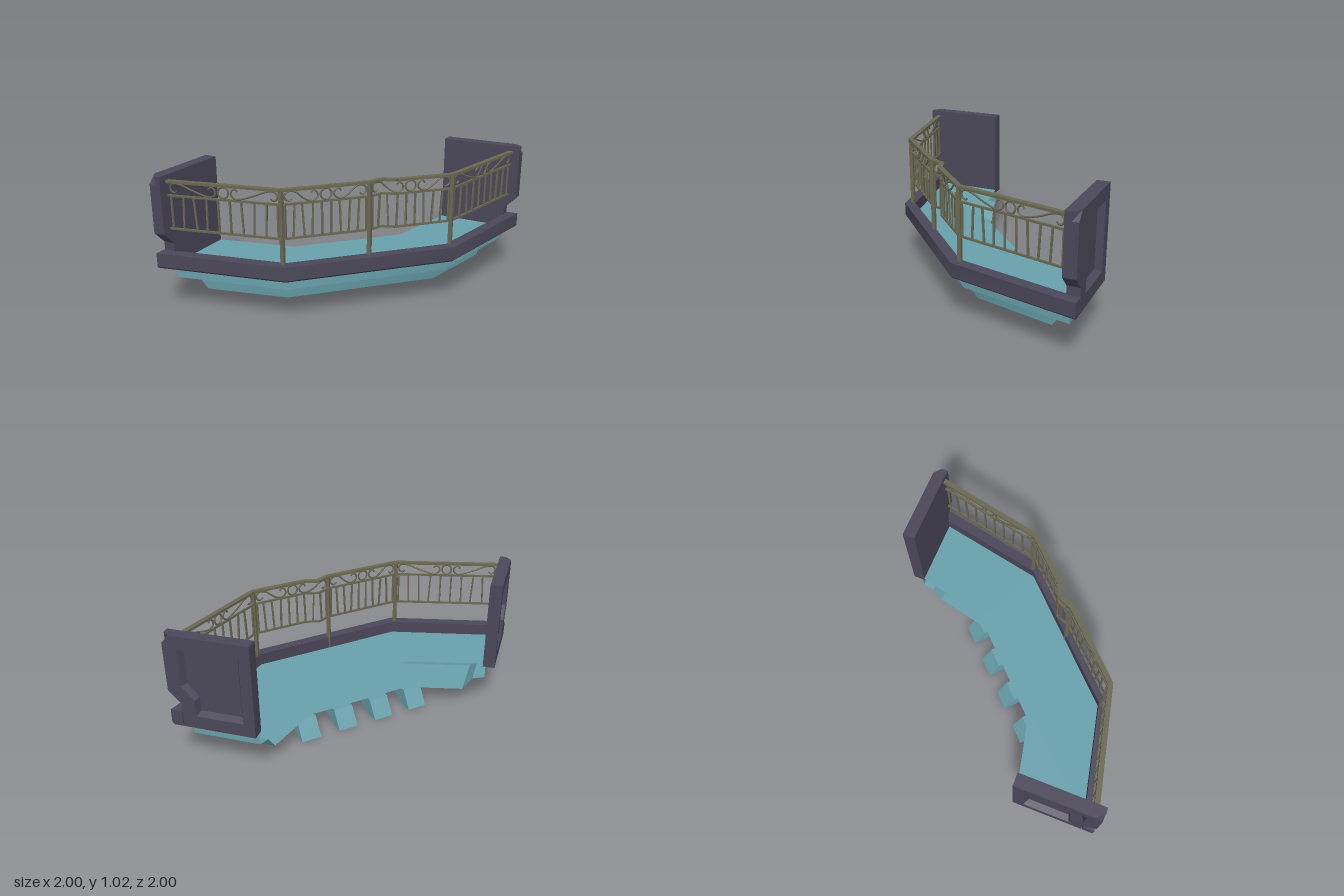
import * as THREE from 'three';
import { mergeGeometries, toCreasedNormals } from 'three/addons/utils/BufferGeometryUtils.js';

const stone = new THREE.MeshStandardMaterial({ color: 0x4b475a });
const teal = new THREE.MeshStandardMaterial({ color: 0x68a0ab, side: THREE.DoubleSide });
const iron = new THREE.MeshStandardMaterial({ color: 0x6a6852 });
const V = (x, y, z) => new THREE.Vector3(x, y, z);

function add(parent, name, geo, mat) {
  const m = new THREE.Mesh(geo, mat);
  m.name = name;
  parent.add(m);
  return m;
}

// the plan is symmetric about x = z: complete a half outline by swapping
const fullPlan = half => [...half, ...half.slice().reverse().map(([x, z]) => [z, x])];

// stack of horizontal plan outlines, capped at both ends; sides listed in open are left out
function loft(levels, open = []) {
  const rings = levels.map(([y, half]) => fullPlan(half).map(([x, z]) => V(x, y, z)));
  const pos = [], tri = (...ps) => ps.forEach(p => pos.push(p.x, p.y, p.z));
  const n = rings[0].length, bottom = rings[0], top = rings[rings.length - 1];
  for (let k = 0; k + 1 < rings.length; k++)
    for (let i = 0; i < n; i++) {
      if (open.includes(i)) continue;
      const j = (i + 1) % n;
      tri(rings[k][i], rings[k][j], rings[k + 1][j]);
      tri(rings[k][i], rings[k + 1][j], rings[k + 1][i]);
    }
  const cap = ring => THREE.ShapeUtils.triangulateShape(ring.map(p => new THREE.Vector2(p.x, -p.z)), []);
  for (const [a, b, c] of cap(top)) tri(top[a], top[b], top[c]);
  for (const [a, b, c] of cap(bottom)) tri(bottom[a], bottom[c], bottom[b]);
  const g = new THREE.BufferGeometry();
  g.setAttribute('position', new THREE.Float32BufferAttribute(pos, 3));
  return toCreasedNormals(g, 0.65);
}

// mirror a non-indexed geometry across the x = z plane, keeping faces outward
function swapped(geo) {
  const g = geo.clone(), src = geo.attributes.position, p = g.attributes.position;
  for (let i = 0; i < p.count; i++) {
    const j = i - (i % 3) + [0, 2, 1][i % 3];
    p.setXYZ(i, src.getZ(j), src.getY(j), src.getX(j));
  }
  g.computeVertexNormals();
  return g;
}

// end wall: solid inner slab plus framed outer slab with a cut top corner and bevelled recess
function wallGeometry() {
  const poly = pts => pts.map(([x, y]) => new THREE.Vector2(x, y));
  const lower = [[0.39, 0.345], [0.91, 0.345], [0.91, 0.52], [1, 0.61]];
  const panel = poly([[0.47, 0.44], [0.47, 0.93], [0.9, 0.93], [0.9, 0.66], [0.81, 0.56], [0.81, 0.44]]);
  const opts = { depth: 0.045, bevelEnabled: false };
  const solid = new THREE.Shape(poly([...lower, [1, 1.025], [0.39, 1.025]]));
  const inner = new THREE.ExtrudeGeometry(solid, opts).translate(0, 0, -0.955);
  const frame = new THREE.Shape(poly([...lower, [1, 0.965], [0.945, 1.025], [0.39, 1.025]]));
  frame.holes.push(new THREE.Path(panel));
  const outer = new THREE.ExtrudeGeometry(frame, opts).translate(0, 0, -1);
  const p = outer.attributes.position;
  for (let i = 0; i < p.count; i++) {
    const x = p.getX(i), y = p.getY(i);
    if (p.getZ(i) < -0.98) continue;
    if (x > 0.94 && y > 1) p.setX(i, 1);
    else if (x > 0.4 && x < 0.905 && y > 0.4 && y < 0.95)
      p.setXY(i, 0.685 + (x - 0.685) * 0.88, 0.685 + (y - 0.685) * 0.9);
  }
  const g = mergeGeometries([inner, outer]);
  g.computeVertexNormals();
  return g;
}

// square bar between two points
function bar(parent, name, a, b, w, h = w) {
  const m = add(parent, name, new THREE.BoxGeometry(w, h, a.distanceTo(b)), iron);
  m.position.copy(a).lerp(b, 0.5);
  m.lookAt(b);
}

// one railing bay along a plan polyline
function railingBay(plan) {
  const bay = new THREE.Group();
  bay.name = 'railingBay';
  const pts = plan.map(([x, z]) => V(x, 0, z));
  const path = new THREE.CurvePath();
  for (let i = 0; i + 1 < pts.length; i++) path.add(new THREE.LineCurve3(pts[i], pts[i + 1]));
  const L = path.getLength();
  const at = (d, y) => path.getPointAt(THREE.MathUtils.clamp(d / L, 0, 1)).setY(y);

  for (let i = 0; i + 1 < pts.length; i++)
    for (const [name, y, w, h] of [['topRail', 0.98, 0.036, 0.018], ['middleRail', 0.88, 0.014, 0.014], ['lowerRail', 0.64, 0.014, 0.014]])
      bar(bay, name, pts[i].clone().setY(y), pts[i + 1].clone().setY(y), w, h);

  // upright end bars and slightly leaning balusters
  for (const d of [0.025, L - 0.025]) bar(bay, 'endBar', at(d, 0.64), at(d, 0.88), 0.012);
  const lean = [0.006, -0.007, 0.003, 0, 0, -0.005, 0.006, 0.006];
  lean.forEach((s, i) => {
    const d = L * (i + 1.31) / 9.55;
    bar(bay, 'baluster', at(d - s, 0.64), at(d + s, 0.88), 0.012);
  });

  // scrollwork: centre ring and a mirrored pair of S-scrolls
  const tube = (name, list, closed, seg) => add(bay, name, new THREE.TubeGeometry(
    new THREE.CatmullRomCurve3(list.map(([d, y]) => at(L / 2 + d, y)), closed), seg, 0.0065, 5, closed), iron);
  const ring = [];
  for (let i = 0; i < 12; i++) ring.push([0.038 * Math.cos(i * Math.PI / 6), 0.929 + 0.038 * Math.sin(i * Math.PI / 6)]);
  tube('scrollRing', ring, true, 24);
  const o = L / 2 - 0.055, c = 0.085;
  const scroll = [[o - 0.018, 0.917], [o - 0.002, 0.902], [o + 0.025, 0.913], [o + 0.032, 0.94], [o + 0.01, 0.965],
    [o - 0.04, 0.962], [(o + c) / 2, 0.925], [c + 0.04, 0.895], [c, 0.892], [c - 0.028, 0.915],
    [c - 0.022, 0.948], [c + 0.004, 0.96], [c + 0.02, 0.942]];
  for (const s of [1, -1]) tube('scroll', scroll.map(([d, y]) => [s * d, y]), false, 44);
  return bay;
}

export function createModel() {
  const model = new THREE.Group();
  model.name = 'balcony';

  // hollow stepped deck, open along the inner edge
  // half plan: outer corner, outer end, inner end, inner corner
  const ic = [0.26, -0.34];
  const wide = [[0.71, -0.12], [0.885, -0.93], [0.394, -0.93], ic];
  const floor = [[0.75, -0.095], [0.945, -0.96], [0.4, -0.96], ic];
  add(model, 'deck', loft([
    [0.137, [[0.61, -0.175], [0.75, -0.77], [0.358, -0.77], ic]],
    [0.235, [[0.63, -0.175], [0.77, -0.84], [0.374, -0.84], ic]],
    [0.25, wide], [0.35, wide], [0.35, floor], [0.37, floor],
  ], [2, 3, 4]), teal);

  // raised rim along the outer edge
  const rim = [[0.8, -0.07], [1, -1], [0.918, -1], [0.725, -0.105]];
  add(model, 'rim', loft([
    [0.345, [[0.785, -0.077], [0.985, -1], ...rim.slice(2)]],
    [0.36, rim], [0.46, rim],
  ]), stone);

  // end walls
  const wall = wallGeometry();
  add(model, 'rightEndWall', wall, stone);
  add(model, 'leftEndWall', swapped(wall), stone);

  // slanted support brackets under the inner edge
  const profile = [[-0.085, 0.137], [-0.17, 0], [-0.1, 0], [0.18, 0.09], [0.18, 0.137]];
  const bracket = new THREE.ExtrudeGeometry(
    new THREE.Shape(profile.map(([s, y]) => new THREE.Vector2(s, y))), { depth: 0.153, bevelEnabled: false });
  bracket.translate(0, 0, -0.0765).rotateY(-Math.PI / 4);
  for (let i = 0; i < 4; i++) {
    const d = -0.325 + i * 0.2167;
    add(model, 'bracket', bracket, teal).position.set(d, 0, -d);
  }

  // railing: four bays, the third one dented inwards
  const bays = [
    [[-0.91, 0.932], [-0.115, 0.75]],
    [[-0.115, 0.75], [0.318, 0.318]],
    [[0.318, 0.318], [0.36, 0.215], [0.455, 0.18], [0.75, -0.115]],
    [[0.75, -0.115], [0.932, -0.91]],
  ];
  for (const plan of bays) model.add(railingBay(plan));
  for (const [x, z] of [[-0.115, 0.75], [0.318, 0.318], [0.75, -0.115]])
    bar(model, 'railingPost', V(x, 0.37, z), V(x, 0.985, z), 0.026);

  return model;
}
